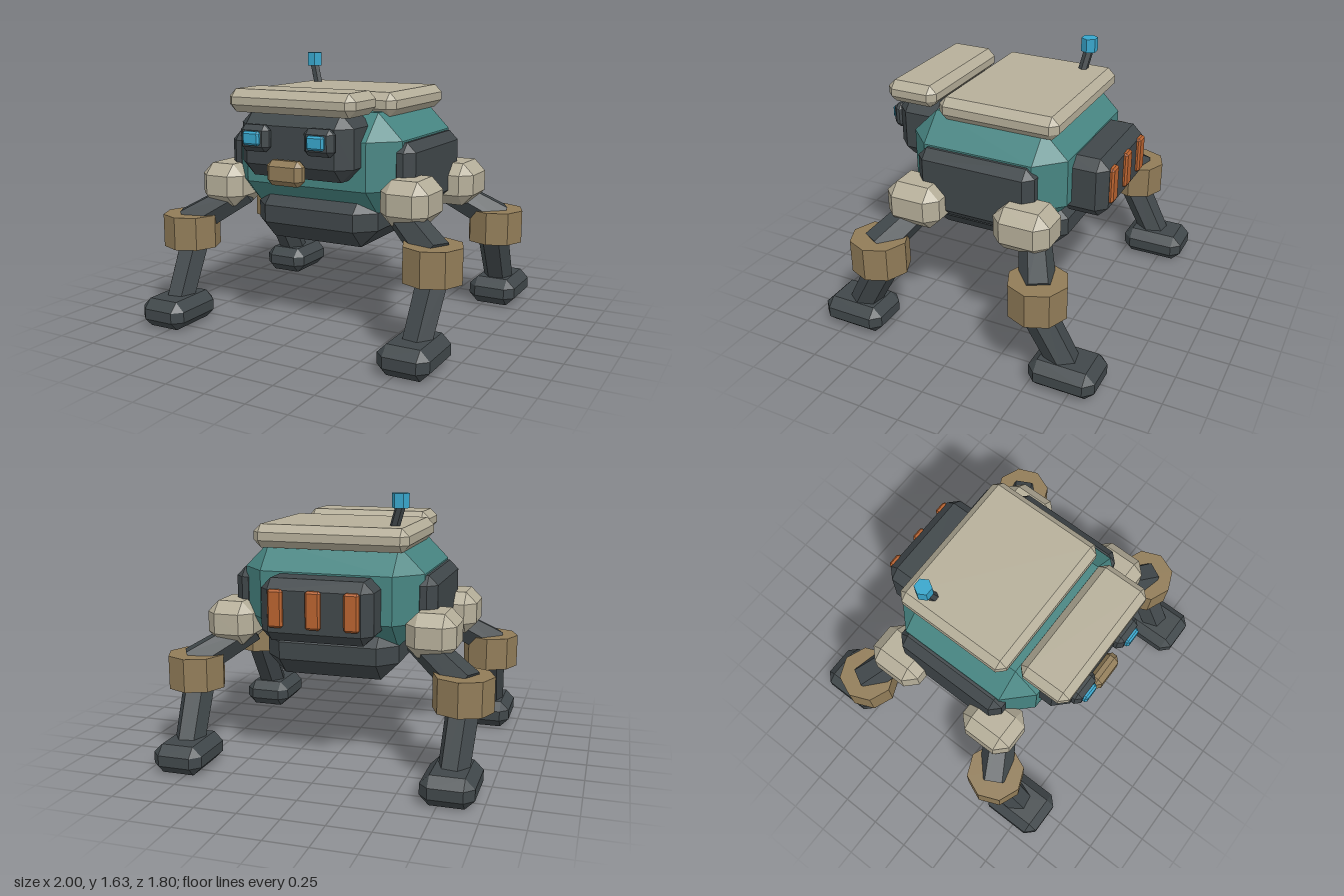
import * as THREE from 'three';
import { ConvexGeometry } from 'three/addons/geometries/ConvexGeometry.js';

const paint = (name, color) => {
  const m = new THREE.MeshStandardMaterial({ color, flatShading: true });
  m.name = name;
  return m;
};

// Box with all edges cut by c, given as its min and max corners
function chamferBox(name, min, max, c, material) {
  const h = max.map((v, i) => (v - min[i]) / 2);
  const points = [];
  for (const sx of [-1, 1]) for (const sy of [-1, 1]) for (const sz of [-1, 1]) {
    for (let full = 0; full < 3; full++) {
      const p = [sx, sy, sz].map((s, i) => s * (i === full ? h[i] : h[i] - c));
      points.push(new THREE.Vector3(...p));
    }
  }
  const mesh = new THREE.Mesh(new ConvexGeometry(points), material);
  mesh.position.set(...max.map((v, i) => (v + min[i]) / 2));
  mesh.name = name;
  return mesh;
}

// Six-sided rod between two points
function rod(name, from, to, r0, r1, material) {
  const a = new THREE.Vector3(...from), b = new THREE.Vector3(...to);
  const dir = b.clone().sub(a);
  const geometry = new THREE.CylinderGeometry(r1, r0, dir.length(), 6);
  geometry.rotateY(Math.PI / 6);
  const mesh = new THREE.Mesh(geometry, material);
  mesh.position.copy(a).add(b).multiplyScalar(0.5);
  mesh.quaternion.setFromUnitVectors(new THREE.Vector3(0, 1, 0), dir.normalize());
  mesh.name = name;
  return mesh;
}

export function createModel() {
  const teal = paint('teal shell', 0x478582);
  const dark = paint('dark metal', 0x40474a);
  const beige = paint('beige plate', 0xb6af9a);
  const brown = paint('brown joint', 0x917c58);
  const blue = paint('blue light', 0x38a6cc);
  const orange = paint('orange vent', 0xb8622f);

  const model = new THREE.Group();
  model.name = 'fourLeggedRobot';

  // Body
  model.add(
    chamferBox('body', [-0.555, 0.74, -0.5], [0.555, 1.335, 0.5], 0.155, teal),
    chamferBox('belly', [-0.41, 0.535, -0.47], [0.41, 0.86, 0.47], 0.11, dark),
    chamferBox('topPlate', [-0.475, 1.305, -0.455], [0.475, 1.445, 0.305], 0.045, beige)
  );
  for (const s of [-1, 1]) {
    const x = s * 0.552;
    model.add(chamferBox('sidePanel', [x - 0.075, 0.76, -0.375], [x + 0.075, 1.17, 0.375], 0.055, dark));
  }

  // Head with eyes and muzzle
  const head = new THREE.Group();
  head.name = 'head';
  head.add(
    chamferBox('skull', [-0.37, 0.957, 0.3], [0.37, 1.345, 0.665], 0.08, dark),
    chamferBox('browPlate', [-0.415, 1.33, 0.36], [0.415, 1.465, 0.69], 0.045, beige),
    chamferBox('muzzle', [-0.115, 0.935, 0.655], [0.115, 1.08, 0.75], 0.032, brown)
  );
  for (const s of [-1, 1]) {
    const x = s * 0.21;
    head.add(
      chamferBox('eyeFrame', [x - 0.095, 1.115, 0.645], [x + 0.095, 1.27, 0.725], 0.03, dark),
      chamferBox('eyeLight', [x - 0.055, 1.155, 0.7], [x + 0.055, 1.235, 0.75], 0.012, blue)
    );
  }
  model.add(head);

  // Backpack with vents
  const backpack = new THREE.Group();
  backpack.name = 'backpack';
  backpack.add(chamferBox('pack', [-0.335, 0.805, -0.705], [0.335, 1.17, -0.4], 0.06, dark));
  for (const x of [-0.225, 0, 0.225]) {
    backpack.add(chamferBox('vent', [x - 0.045, 0.895, -0.728], [x + 0.045, 1.115, -0.68], 0.012, orange));
  }
  model.add(backpack);

  // Antenna
  const antenna = new THREE.Group();
  antenna.name = 'antenna';
  antenna.add(
    rod('antennaRod', [-0.335, 1.38, -0.26], [-0.395, 1.57, -0.292], 0.03, 0.03, dark),
    rod('antennaTip', [-0.393, 1.55, -0.292], [-0.393, 1.635, -0.292], 0.052, 0.052, blue)
  );
  model.add(antenna);

  // Legs, mirrored to the four corners
  for (const sx of [-1, 1]) for (const sz of [-1, 1]) {
    const leg = new THREE.Group();
    leg.name = (sz > 0 ? 'front' : 'back') + (sx > 0 ? 'Left' : 'Right') + 'Leg';
    const at = (x, y, z) => [sx * x, y, sz * z];
    const block = (name, [x, y, z], [w, h, d], c, material) => chamferBox(name,
      [sx * x - w / 2, y - h / 2, sz * z - d / 2], [sx * x + w / 2, y + h / 2, sz * z + d / 2], c, material);
    const knee = new THREE.Mesh(new THREE.CylinderGeometry(0.177, 0.177, 0.205, 8), brown);
    knee.name = 'knee';
    knee.position.set(...at(0.823, 0.5525, 0.517));
    leg.add(
      block('shoulder', [0.618, 0.845, 0.35], [0.295, 0.265, 0.35], 0.07, beige),
      rod('thigh', at(0.52, 0.8, 0.35), at(0.84, 0.59, 0.525), 0.09, 0.108, dark),
      knee,
      rod('shin', at(0.823, 0.53, 0.465), at(0.805, 0.1, 0.7), 0.1, 0.092, dark),
      block('foot', [0.803, 0.0875, 0.7], [0.307, 0.175, 0.405], 0.055, dark)
    );
    model.add(leg);
  }
  return model;
}
